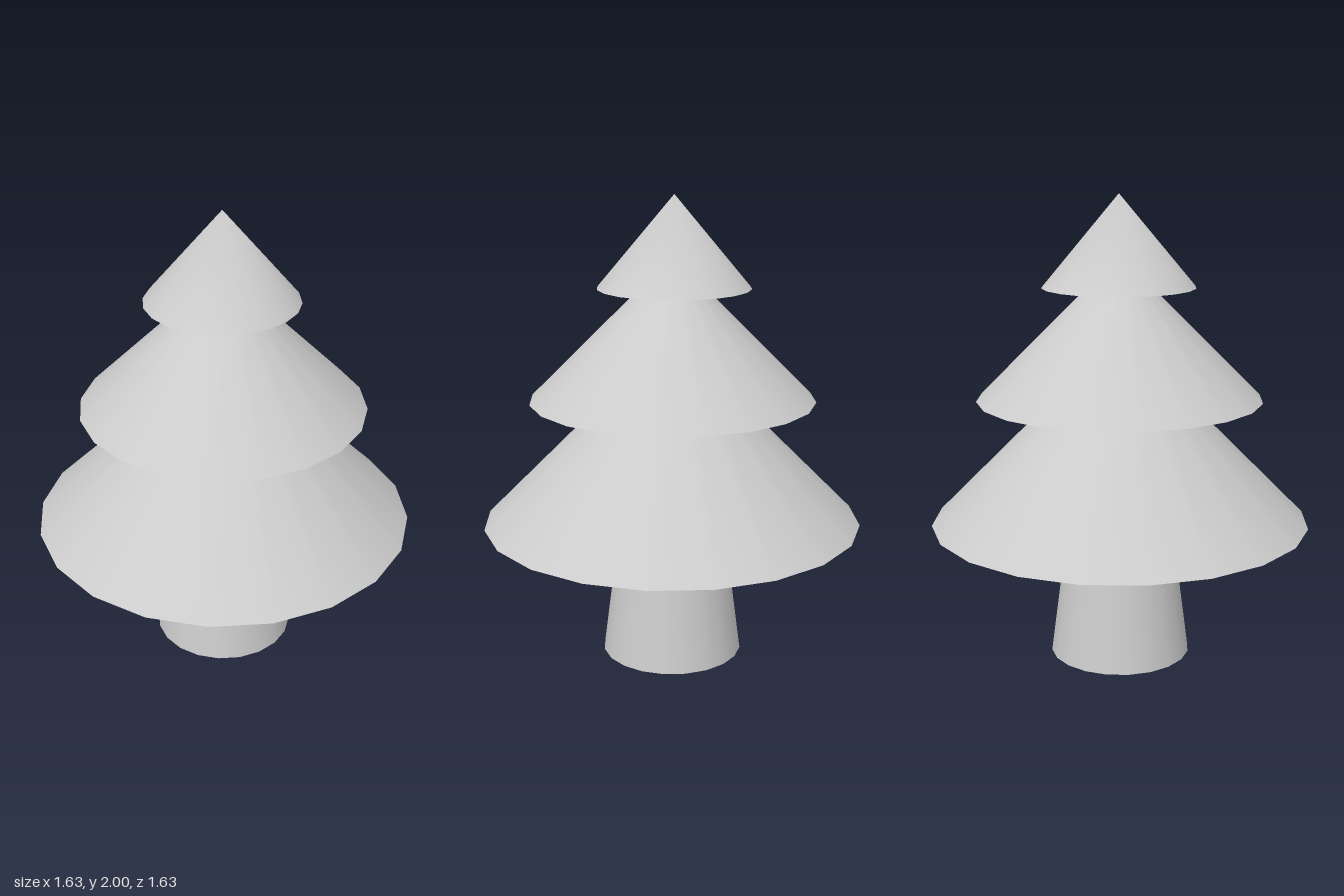
import * as THREE from 'three';
import { mergeVertices } from 'three/addons/utils/BufferGeometryUtils.js';

const SIDES = 20;
const material = new THREE.MeshStandardMaterial({ color: 0xcccccc });

// Tapered round solid standing from y0 to y1
function taper(name, rBottom, rTop, y0, y1, z = 0) {
  const geometry = new THREE.CylinderGeometry(rTop, rBottom, y1 - y0, SIDES);
  const mesh = new THREE.Mesh(geometry, material);
  mesh.name = name;
  mesh.position.set(0, (y0 + y1) / 2, z);
  return mesh;
}

// Pointed cone whose side is smooth right over the tip, closed by a flat base
function pointedTip(name, radius, y0, y1, z) {
  const group = new THREE.Group();
  group.name = name;
  const side = new THREE.ConeGeometry(radius, y1 - y0, SIDES, 1, true);
  side.deleteAttribute('normal');
  side.deleteAttribute('uv');
  const smoothSide = mergeVertices(side);
  smoothSide.computeVertexNormals();
  const cone = new THREE.Mesh(smoothSide, material);
  cone.name = 'tipCone';
  cone.position.y = (y0 + y1) / 2;
  const base = new THREE.Mesh(new THREE.CircleGeometry(radius, SIDES), material);
  base.name = 'tipBase';
  base.rotation.x = Math.PI / 2;
  base.position.y = y0;
  group.add(cone, base);
  group.position.z = z;
  return group;
}

export function createModel() {
  const tree = new THREE.Group();
  tree.name = 'tree';
  tree.add(
    taper('trunk', 0.305, 0.225, 0, 0.61),
    // Three tiers of foliage, each tucked under the next
    taper('lowerFoliage', 0.815, 0.275, 0.6, 1.145),
    taper('middleFoliage', 0.61, 0.13, 1.14, 1.62, -0.003),
    pointedTip('topFoliage', 0.325, 1.615, 2, -0.01)
  );
  return tree;
}
